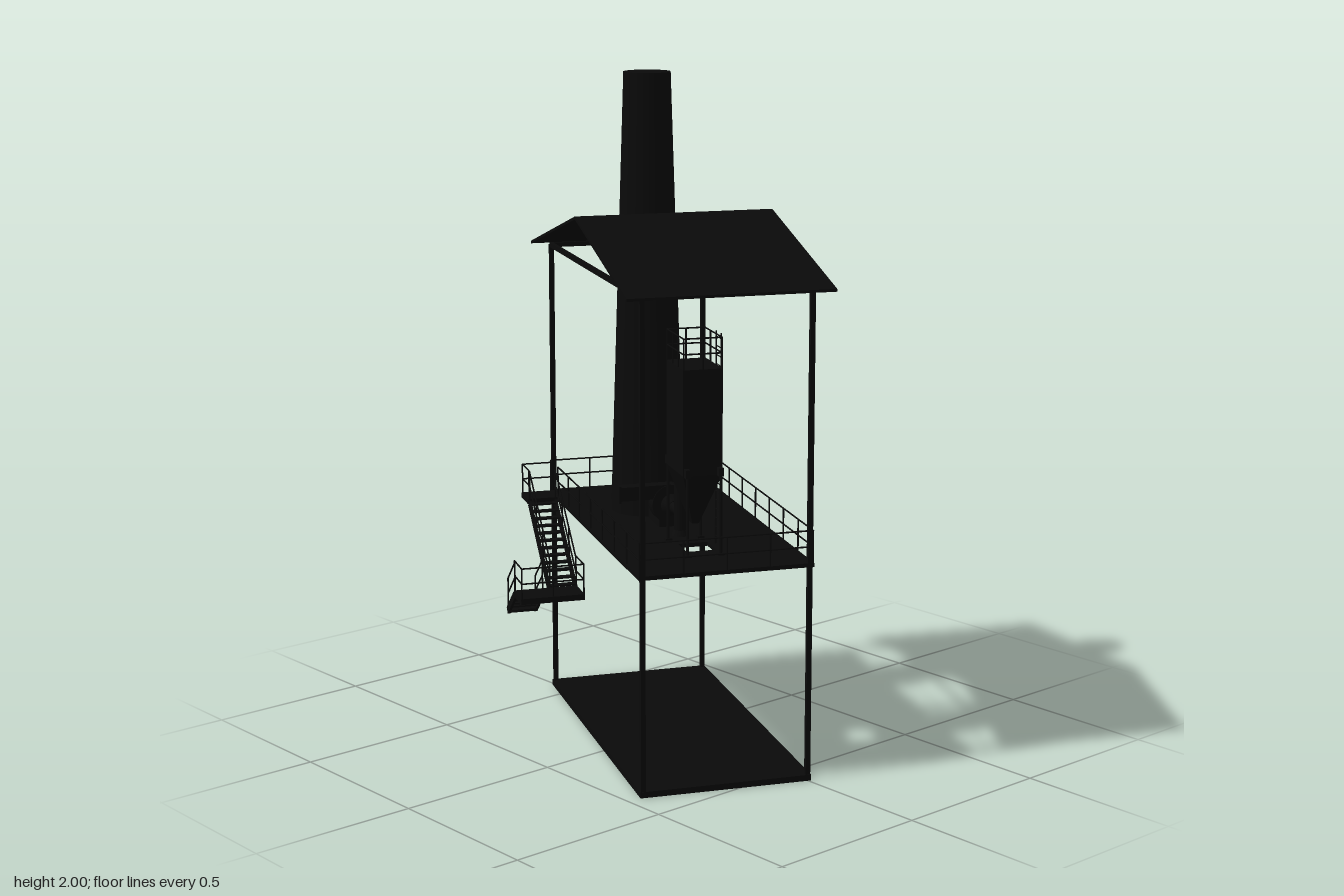
import * as THREE from 'three';

const mat = new THREE.MeshStandardMaterial({ color: 0x0a0a0a });
const flat = new THREE.MeshStandardMaterial({ color: 0x0a0a0a, flatShading: true });
const sheet = new THREE.MeshStandardMaterial({ color: 0x0a0a0a, side: THREE.DoubleSide });
const V = (x, y, z) => new THREE.Vector3(x, y, z);

function add(parent, name, geo, x = 0, y = 0, z = 0, m = mat) {
  const mesh = new THREE.Mesh(geo, m);
  mesh.name = name;
  mesh.position.set(x, y, z);
  parent.add(mesh);
  return mesh;
}
const box = (parent, name, w, h, d, x, y, z) => add(parent, name, new THREE.BoxGeometry(w, h, d), x, y, z);

function group(parent, name) {
  const g = new THREE.Group();
  g.name = name;
  parent.add(g);
  return g;
}

// Round bar between two points
function bar(parent, name, a, b, r = 0.0025, sides = 6) {
  const d = b.clone().sub(a);
  const mesh = add(parent, name, new THREE.CylinderGeometry(r, r, d.length(), sides));
  mesh.position.copy(a).addScaledVector(d, 0.5);
  mesh.quaternion.setFromUnitVectors(V(0, 1, 0), d.normalize());
}

// Guard rail with posts, mid rail and top rail along a path of points
function railing(parent, name, pts, height = 0.095, spacing = 0.13) {
  const g = group(parent, name);
  const up = (p, h) => p.clone().setY(p.y + h);
  for (let i = 0; i < pts.length - 1; i++) {
    const [a, b] = [pts[i], pts[i + 1]];
    for (const k of [0.5, 1]) bar(g, 'rail', up(a, height * k), up(b, height * k));
    const n = Math.max(1, Math.round(a.distanceTo(b) / spacing));
    for (let j = 0; j <= n; j++) {
      const p = a.clone().lerp(b, j / n);
      bar(g, 'post', p, up(p, height));
    }
  }
}

// Straight stair flight with stringers, treads and rails
function flight(parent, name, x0, x1, top, bottom, steps) {
  const g = group(parent, name);
  const [zt, yt] = top, [zb, yb] = bottom;
  const len = Math.hypot(zt - zb, yt - yb), angle = Math.atan2(yt - yb, zb - zt);
  for (const x of [x0 + 0.004, x1 - 0.004]) {
    const s = box(g, 'stringer', 0.008, 0.022, len, x, (yt + yb) / 2 - 0.008, (zt + zb) / 2);
    s.rotation.x = angle;
    railing(g, 'stairRail', [V(x, yt, zt), V(x, yb, zb)]);
  }
  for (let i = 0; i < steps; i++) {
    const t = (i + 0.5) / steps;
    box(g, 'tread', x1 - x0 - 0.012, 0.005, 0.024, (x0 + x1) / 2, yt + (yb - yt) * t, zt + (zb - zt) * t);
  }
}

function buildFrame(g) {
  box(g, 'groundSlab', 0.515, 0.018, 1.065, 0, 0.009, 0);
  for (const x of [-0.248, 0.248]) {
    for (const z of [-0.524, 0.524]) box(g, 'column', 0.014, 1.435, 0.014, x, 0.7275, z);
    box(g, 'sideBeam', 0.012, 0.014, 1.05, x, 1.443, 0);
  }
  for (const z of [-0.524, 0.524]) box(g, 'endBeam', 0.5, 0.014, 0.012, 0, 1.443, z);

  // Gable roof, a thin folded sheet
  const s = new THREE.Shape([[-0.571, 1.443], [0, 1.593], [0.571, 1.443], [0.571, 1.451], [0, 1.602], [-0.571, 1.451]]
    .map(p => new THREE.Vector2(...p)));
  const roof = new THREE.ExtrudeGeometry(s, { depth: 0.606, bevelEnabled: false });
  roof.translate(0, 0, -0.303).rotateY(Math.PI / 2);
  add(g, 'roof', roof);

  // Deck with the discharge opening below the hopper
  const rect = (P, x0, x1, y0, y1) => {
    const p = new P();
    p.moveTo(x0, y0).lineTo(x1, y0).lineTo(x1, y1).lineTo(x0, y1).closePath();
    return p;
  };
  const d = rect(THREE.Shape, -0.26, 0.26, -0.53, 0.53);
  d.holes.push(rect(THREE.Path, -0.055, 0.035, -0.315, -0.225));
  const deck = new THREE.ExtrudeGeometry(d, { depth: 0.012, bevelEnabled: false });
  deck.rotateX(-Math.PI / 2);
  add(g, 'deck', deck, 0, 0.643, 0);
  railing(g, 'deckRailing', [V(-0.257, 0.655, -0.43), V(-0.257, 0.655, 0.527), V(0.257, 0.655, 0.527),
    V(0.257, 0.655, -0.527), V(-0.257, 0.655, -0.527)]);
}

function buildStairs(g) {
  box(g, 'topLanding', 0.1, 0.016, 0.092, -0.305, 0.645, -0.476);
  railing(g, 'topLandingRail', [V(-0.257, 0.65, -0.52), V(-0.351, 0.65, -0.52), V(-0.351, 0.65, -0.43)]);
  flight(g, 'upperFlight', -0.353, -0.262, [-0.43, 0.647], [-0.17, 0.43], 12);
  box(g, 'midLanding', 0.198, 0.018, 0.1, -0.363, 0.427, -0.12);
  railing(g, 'midLandingRail', [V(-0.266, 0.435, -0.17), V(-0.266, 0.435, -0.072), V(-0.459, 0.435, -0.072),
    V(-0.459, 0.435, -0.17)], 0.095, 0.1);
  flight(g, 'lowerFlight', -0.462, -0.368, [-0.17, 0.43], [-0.27, 0.352], 5);
  box(g, 'bottomStep', 0.09, 0.008, 0.03, -0.415, 0.346, -0.262);
}

// Rectangular silo with hopper, legs, ladder and top railing; local origin on its axis
function buildSilo(parent) {
  const g = group(parent, 'silo');
  g.position.set(-0.02, 0, 0.27);
  box(g, 'siloBody', 0.118, 0.31, 0.172, 0, 1.045, 0);
  const hopper = new THREE.CylinderGeometry(Math.SQRT1_2, 0.12, 0.16, 4).rotateY(Math.PI / 4).scale(0.118, 1, 0.172);
  add(g, 'hopper', hopper, 0, 0.81, 0, flat);
  for (const x of [-0.05, 0.05]) for (const z of [-0.1, 0.1]) {
    bar(g, 'leg', V(x, 0.655, z), V(x, 0.905, z), 0.005, 8);
    box(g, 'legBracket', 0.014, 0.025, 0.026, x, 0.9, z * 0.93);
    box(g, 'footPlate', 0.02, 0.006, 0.02, x, 0.658, z);
  }
  railing(g, 'siloTopRail', [[-1, -1], [1, -1], [1, 1], [-1, 1], [-1, -1]]
    .map(([x, z]) => V(x * 0.057, 1.2, z * 0.084)), 0.09, 0.06);
  for (const z of [-0.024, 0.024]) bar(g, 'ladderSide', V(0.073, 0.655, z), V(0.073, 1.29, z));
  for (let y = 0.68; y < 1.28; y += 0.027) bar(g, 'ladderRung', V(0.073, y, -0.024), V(0.073, y, 0.024), 0.0018);
}

function buildExhaust(g) {
  // Bent pipe from the silo down to the deck
  const path = new THREE.CurvePath();
  path.add(new THREE.LineCurve3(V(-0.02, 1.172, 0.2), V(-0.02, 1.172, 0.165)));
  path.add(new THREE.QuadraticBezierCurve3(V(-0.02, 1.172, 0.165), V(-0.02, 1.172, 0.127), V(-0.02, 1.132, 0.127)));
  path.add(new THREE.LineCurve3(V(-0.02, 1.132, 0.127), V(-0.02, 0.655, 0.127)));
  add(g, 'downPipe', new THREE.TubeGeometry(path, 60, 0.018, 16), 0, 0, 0, sheet);
  add(g, 'pipeFoot', new THREE.CylinderGeometry(0.019, 0.027, 0.018, 16), -0.02, 0.663, 0.127);

  // Fan: inlet cone, drum, tangential outlet, motor and base
  const fan = group(g, 'fan');
  bar(fan, 'fanInlet', V(-0.02, 0.725, 0.127), V(-0.02, 0.725, 0.03), 0.016, 16);
  add(fan, 'inletCone', new THREE.CylinderGeometry(0.018, 0.034, 0.025, 20).rotateX(Math.PI / 2), -0.02, 0.725, 0.05);
  add(fan, 'fanDrum', new THREE.CylinderGeometry(0.06, 0.06, 0.045, 28).rotateX(Math.PI / 2), -0.02, 0.727, 0.015);
  box(fan, 'fanOutlet', 0.16, 0.042, 0.04, -0.1, 0.766, 0.015);
  box(fan, 'outletFlange', 0.006, 0.052, 0.05, -0.18, 0.766, 0.015);
  bar(fan, 'motor', V(-0.02, 0.72, -0.01), V(-0.02, 0.72, -0.075), 0.022, 16);
  box(fan, 'fanBase', 0.07, 0.04, 0.12, -0.02, 0.672, -0.035);

  add(g, 'chimney', new THREE.CylinderGeometry(0.071, 0.114, 1.35, 40), -0.023, 1.325, -0.215);
}

export function createModel() {
  const model = new THREE.Group();
  model.name = 'chimneyPlant';
  const plant = group(model, 'plant');
  plant.rotation.y = -THREE.MathUtils.degToRad(25);
  buildFrame(group(plant, 'building'));
  buildStairs(group(plant, 'stairs'));
  buildSilo(plant);
  buildExhaust(group(plant, 'exhaust'));
  return model;
}
